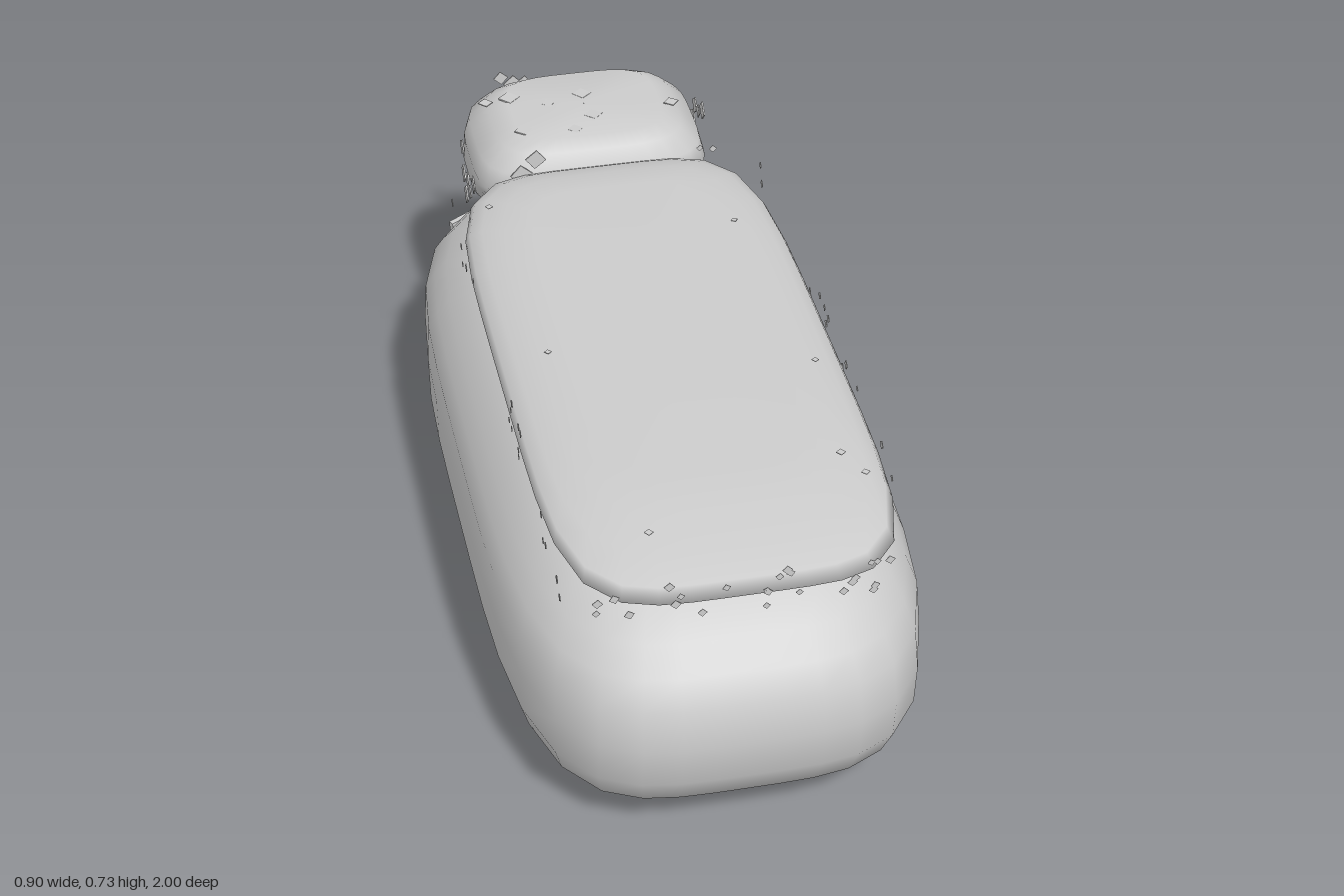
import * as THREE from 'three';

const material = new THREE.MeshStandardMaterial({ color: 0xcccccc, roughness: 0.8 });
const SEGMENTS = 40;

// Each ring: [y, half width, front z, back z]
const BODY = [
  [0, 0.315, 0.73, -0.63], [0.065, 0.375, 0.85, -0.74], [0.13, 0.43, 0.95, -0.83],
  [0.2, 0.45, 0.985, -0.87], [0.3, 0.45, 1, -0.9], [0.39, 0.445, 0.98, -0.89],
  [0.44, 0.425, 0.94, -0.85], [0.49, 0.4, 0.89, -0.8], [0.54, 0.36, 0.81, -0.7],
  [0.575, 0.32, 0.72, -0.62], [0.6, 0.275, 0.6, -0.52],
];
const SLAB = [
  [0.595, 0.26, 0.6, -0.45], [0.607, 0.31, 0.75, -0.53], [0.622, 0.345, 0.89, -0.59],
  [0.64, 0.362, 0.94, -0.62], [0.658, 0.352, 0.91, -0.61], [0.675, 0.325, 0.82, -0.58],
  [0.69, 0.28, 0.72, -0.53], [0.7, 0.22, 0.6, -0.45],
];
const HEAD = [
  [0.43, 0.18, -0.82, -0.94], [0.455, 0.235, -0.79, -0.97], [0.49, 0.262, -0.74, -0.99],
  [0.54, 0.275, -0.68, -1], [0.575, 0.275, -0.62, -1], [0.61, 0.275, -0.575, -0.998],
  [0.66, 0.262, -0.59, -0.985], [0.7, 0.22, -0.615, -0.955], [0.725, 0.175, -0.64, -0.92],
];

// Skins rounded-rectangle rings, closing both ends with a flat fan
function loft(rings, power) {
  const positions = [], indices = [];
  const [first, last] = [rings[0], rings[rings.length - 1]];
  const shrink = ([y, w, f, b]) => [y, w * 0.001, (f + b) / 2 + 0.0005, (f + b) / 2 - 0.0005];
  const all = [shrink(first), ...rings, shrink(last)];
  for (const [y, w, front, back] of all) {
    for (let j = 0; j < SEGMENTS; j++) {
      const a = (j / SEGMENTS) * Math.PI * 2, c = Math.cos(a), s = Math.sin(a);
      const r = 1 / Math.pow(Math.abs(c) ** power + Math.abs(s) ** power, 1 / power);
      positions.push(c * r * w, y, (front + back) / 2 + s * r * (front - back) / 2);
    }
  }
  for (let i = 0; i < all.length - 1; i++) {
    for (let j = 0; j < SEGMENTS; j++) {
      const k = (j + 1) % SEGMENTS;
      const a = i * SEGMENTS + j, b = i * SEGMENTS + k, c = a + SEGMENTS, d = b + SEGMENTS;
      indices.push(a, c, b, b, c, d);
    }
  }
  const geometry = new THREE.BufferGeometry();
  geometry.setAttribute('position', new THREE.Float32BufferAttribute(positions, 3));
  geometry.setIndex(indices);
  geometry.computeVertexNormals();
  return geometry;
}

function addMesh(parent, name, geometry) {
  const mesh = new THREE.Mesh(geometry, material);
  mesh.name = name;
  parent.add(mesh);
  return mesh;
}

// Point on the rear surface of the body
function backPoint(x, y) {
  const i = BODY.findIndex((r, k) => k > 0 && r[0] >= y);
  const [p, q] = [BODY[i - 1], BODY[i]];
  const t = (y - p[0]) / (q[0] - p[0]);
  const [, w, front, back] = p.map((v, k) => THREE.MathUtils.lerp(v, q[k], t));
  const z = (front + back) / 2 - (front - back) / 2 * Math.pow(1 - Math.abs(x / w) ** 4, 0.25);
  return new THREE.Vector3(x, y, z);
}

// Thin bar lying on the rear surface between two (x, y) points
function addBar(parent, name, x1, y1, x2, y2) {
  const a = backPoint(x1, y1), b = backPoint(x2, y2);
  const bar = addMesh(parent, name, new THREE.BoxGeometry(0.014, 0.024, a.distanceTo(b) + 0.01));
  bar.position.copy(a).add(b).multiplyScalar(0.5);
  bar.lookAt(b);
}

function seeded(seed) {
  return () => (seed = (seed * 16807) % 2147483647) / 2147483647;
}

// Small diamond flakes lying on the six planes around a part
function addFlakes(parent, name, min, max, size, counts, seed) {
  const random = seeded(seed);
  const group = new THREE.Group();
  group.name = name;
  const geometry = new THREE.BoxGeometry(1, 1, 0.1);
  const zAxis = new THREE.Vector3(0, 0, 1);
  counts.forEach((count, face) => {
    const axis = face >> 1, side = face % 2 ? max : min;
    const normal = new THREE.Vector3().setComponent(axis, face % 2 ? 1 : -1);
    for (let i = 0; i < count; i++) {
      const flake = addMesh(group, 'flake', geometry);
      for (let k = 0; k < 3; k++) {
        const v = k === axis ? side[k] : THREE.MathUtils.lerp(min[k], max[k], 0.06 + 0.88 * random());
        flake.position.setComponent(k, v);
      }
      flake.quaternion.setFromUnitVectors(zAxis, normal);
      flake.rotateZ(Math.PI / 4 + (random() - 0.5) * 0.5);
      flake.scale.setScalar(size * (0.75 + 0.4 * random()));
    }
  });
  parent.add(group);
}

export function createModel() {
  const model = new THREE.Group();
  model.name = 'model';

  addMesh(model, 'body', loft(BODY, 4));
  addMesh(model, 'topSlab', loft(SLAB, 5));
  addMesh(model, 'head', loft(HEAD, 4));

  // Face on the rear: squinting eyes, brows and a three-piece mouth
  const face = new THREE.Group();
  face.name = 'face';
  for (const s of [-1, 1]) {
    addBar(face, 'eyeUpper', s * 0.28, 0.37, s * 0.17, 0.3);
    addBar(face, 'eyeLower', s * 0.17, 0.3, s * 0.28, 0.24);
    addBar(face, 'brow', s * 0.22, 0.42, s * 0.32, 0.41);
    addBar(face, 'mouthCorner', s * 0.2, 0.155, s * 0.28, 0.17);
  }
  addBar(face, 'mouth', -0.14, 0.15, 0.14, 0.15);
  model.add(face);

  // Flake counts per plane: -x, +x, -y, +y, -z, +z
  addFlakes(model, 'slabFlakes', [-0.362, 0.6, -0.62], [0.362, 0.698, 0.94], 0.014,
    [18, 18, 6, 12, 6, 24], 77);
  addFlakes(model, 'headFlakes', [-0.275, 0.435, -0.997], [0.275, 0.724, -0.6], 0.032,
    [7, 7, 4, 8, 9, 4], 1234);

  return model;
}
